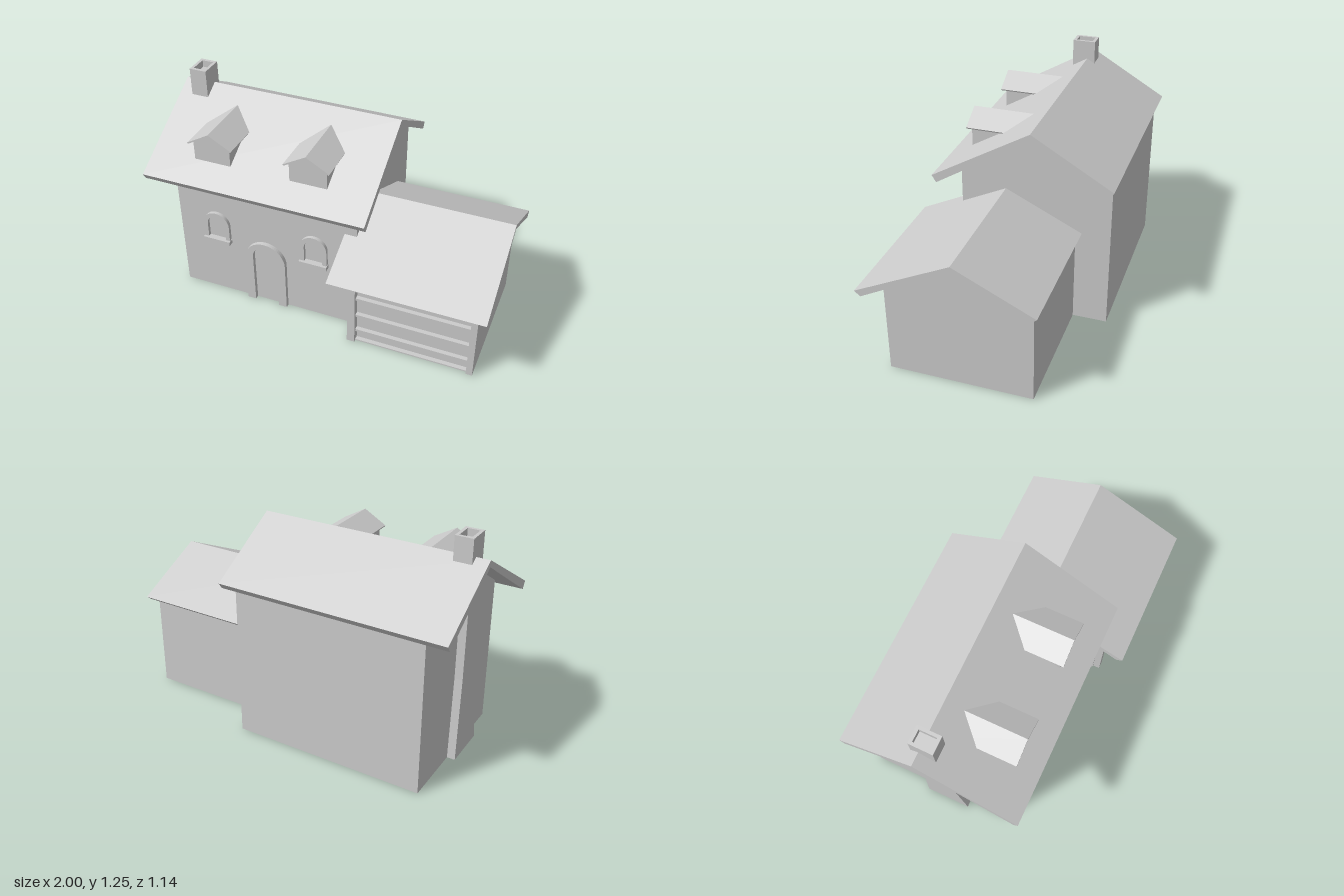
import * as THREE from 'three';

const material = new THREE.MeshStandardMaterial({ color: 0xcccccc, flatShading: true });

const toShape = (pts) => new THREE.Shape(pts.map(([a, b]) => new THREE.Vector2(a, b)));

function add(parent, name, geometry) {
  const mesh = new THREE.Mesh(geometry, material);
  mesh.name = name;
  parent.add(mesh);
  return mesh;
}

// Box given by its min and max on each axis
function box(parent, name, [x0, x1], [y0, y1], [z0, z1]) {
  const g = new THREE.BoxGeometry(x1 - x0, y1 - y0, z1 - z0);
  g.translate((x0 + x1) / 2, (y0 + y1) / 2, (z0 + z1) / 2);
  return add(parent, name, g);
}

// Shape in (x, y) extruded from z0 to z1
function alongZ(shape, z0, z1) {
  const g = new THREE.ExtrudeGeometry(shape, { depth: z1 - z0, bevelEnabled: false, curveSegments: 16 });
  return g.translate(0, 0, z0);
}

// Profile in (z, y) extruded from x0 to x1
function alongX(pts, x0, x1) {
  return alongZ(toShape(pts), 0, x1 - x0).rotateY(-Math.PI / 2).translate(x1, 0, 0);
}

// Arched surround, open at the bottom
function archRing(y0, outerW, outerTop, innerW, innerTop) {
  const so = outerTop - outerW, si = innerTop - innerW;
  const s = new THREE.Shape();
  s.moveTo(-outerW, y0);
  s.lineTo(-outerW, so);
  s.absarc(0, so, outerW, Math.PI, 0, true);
  s.lineTo(outerW, y0);
  s.lineTo(innerW, y0);
  s.lineTo(innerW, si);
  s.absarc(0, si, innerW, 0, Math.PI, false);
  s.lineTo(-innerW, y0);
  return s;
}

function createHouse() {
  const house = new THREE.Group();
  house.name = 'house';
  add(house, 'houseWalls', alongX(
    [[0.3, 0], [0.3, 0.85], [-0.12, 1.11], [-0.545, 0.85], [-0.545, 0]], -0.88, 0.21));
  add(house, 'houseRoof', alongX(
    [[0.44, 0.82], [-0.12, 1.147], [-0.57, 0.885], [-0.545, 0.85], [-0.12, 1.11], [0.415, 0.78]], -1, 0.3));

  // Door surround
  add(house, 'doorFrame', alongZ(archRing(0, 0.125, 0.43, 0.075, 0.4), 0.29, 0.325)).position.x = -0.34;

  // Arched windows with sills
  for (const x of [-0.64, -0.04]) {
    const w = new THREE.Group();
    w.name = 'window';
    w.position.x = x;
    add(w, 'windowFrame', alongZ(archRing(0.38, 0.08, 0.565, 0.055, 0.54), 0.29, 0.32));
    box(w, 'windowSill', [-0.083, 0.083], [0.365, 0.39], [0.29, 0.335]);
    house.add(w);
  }

  // Gabled dormers
  for (const x of [-0.633, -0.067]) {
    const d = new THREE.Group();
    d.name = 'dormer';
    d.position.x = x;
    add(d, 'dormerWalls', alongZ(toShape(
      [[-0.108, 0.9], [0.108, 0.9], [0.108, 1.015], [0, 1.08], [-0.108, 1.015]]), 0, 0.3));
    add(d, 'dormerRoof', alongZ(toShape(
      [[-0.132, 1.015], [-0.128, 1.007], [0, 1.079], [0.128, 1.007], [0.132, 1.015], [0, 1.09]]), -0.02, 0.325));
    house.add(d);
  }
  return house;
}

function createChimney() {
  const chimney = new THREE.Group();
  chimney.name = 'chimney';
  // Breast against the side wall, flaring towards the ground
  add(chimney, 'chimneyBreast', alongX(
    [[0.07, 0], [0.0, 0.48], [-0.03, 0.88], [-0.03, 1.08], [-0.165, 1.08], [-0.168, 0.48], [-0.19, 0]],
    -0.925, -0.825));
  // Hollow stack above the roof
  box(chimney, 'stackCore', [-0.925, -0.825], [1.0, 1.215], [-0.165, -0.03]);
  const rim = toShape([[-0.925, 0.03], [-0.825, 0.03], [-0.825, 0.165], [-0.925, 0.165]]);
  rim.holes.push(toShape([[-0.908, 0.048], [-0.842, 0.048], [-0.842, 0.147], [-0.908, 0.147]]));
  add(chimney, 'stackRim', alongZ(rim, 1.215, 1.255).rotateX(-Math.PI / 2));
  return chimney;
}

function createGarage() {
  const garage = new THREE.Group();
  garage.name = 'garage';
  const back = 0.4, front = 0.44;
  add(garage, 'garageWalls', alongX(
    [[back, 0], [back, 0.55], [0.045, 0.735], [-0.35, 0.53], [-0.35, 0]], 0.2, 0.935));
  add(garage, 'garageRoof', alongX(
    [[0.57, 0.505], [0.045, 0.76], [-0.385, 0.555], [-0.355, 0.53], [0.045, 0.735], [0.537, 0.478]], 0.14, 1));

  // Front wall around the door opening
  box(garage, 'leftPost', [0.9, 0.935], [0, 0.375], [back, front]);
  box(garage, 'rightPost', [0.21, 0.255], [0, 0.375], [back, front]);
  add(garage, 'lintel', alongX(
    [[front, 0.375], [front, 0.53], [back, 0.55], [back, 0.375]], 0.21, 0.935));

  // Raised rails across the door
  for (const y of [0, 0.07, 0.18, 0.3]) {
    box(garage, 'doorRail', [0.255, 0.9], [y, y + (y ? 0.015 : 0.008)], [back, 0.425]);
  }
  return garage;
}

export function createModel() {
  const model = new THREE.Group();
  model.name = 'cottage';
  model.add(createHouse(), createChimney(), createGarage());
  return model;
}
